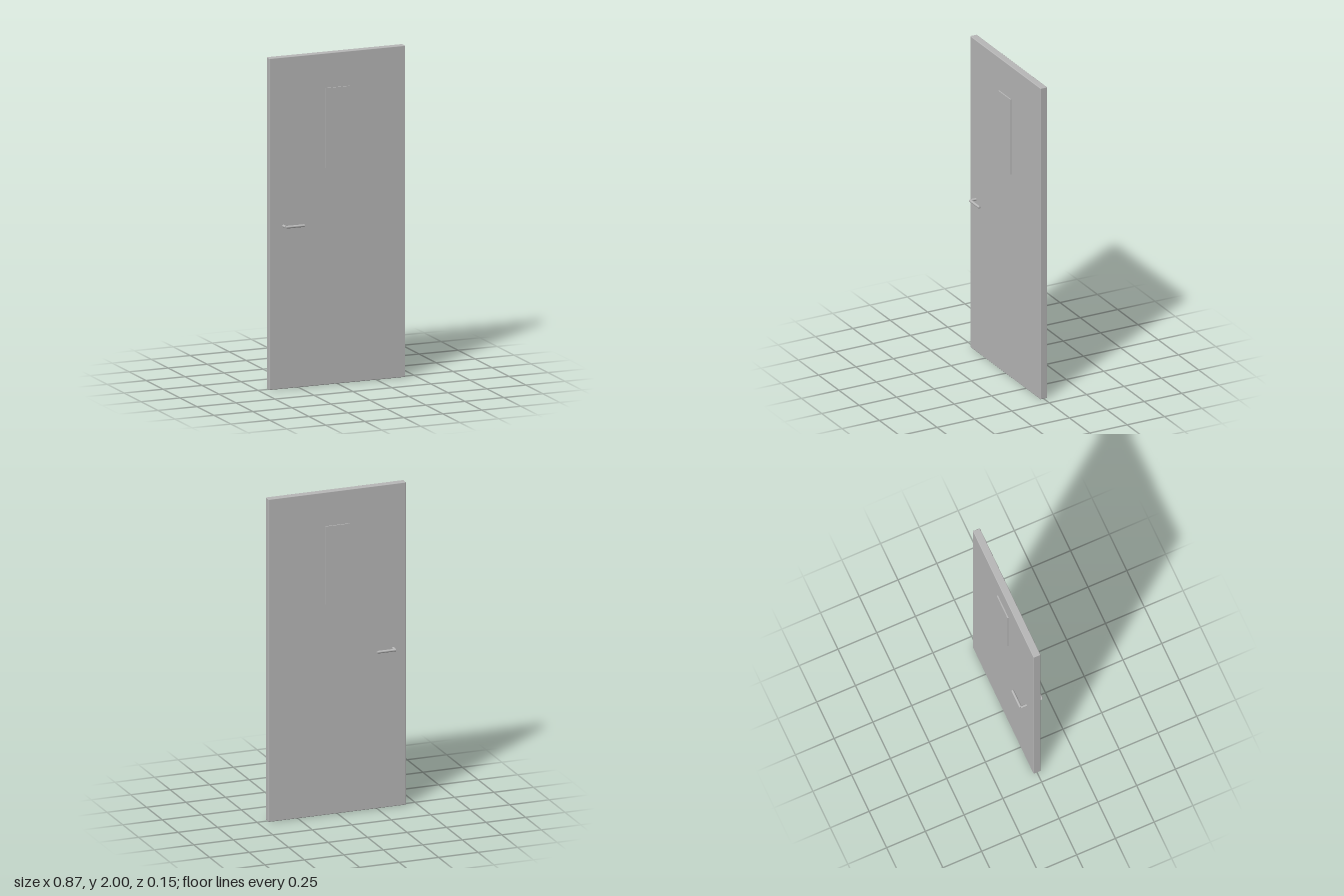
import * as THREE from 'three';
import { RoundedBoxGeometry } from 'three/addons/geometries/RoundedBoxGeometry.js';

export function createModel() {
  const door = new THREE.Group();
  door.name = 'door';
  const grey = new THREE.MeshStandardMaterial({ color: 0xb8b8b8 });
  grey.name = 'grey';

  const add = (parent, name, geometry, x, y, z) => {
    const mesh = new THREE.Mesh(geometry, grey);
    mesh.name = name;
    mesh.position.set(x, y, z);
    parent.add(mesh);
    return mesh;
  };

  // Door leaf with finely eased edges
  add(door, 'doorLeaf', new RoundedBoxGeometry(0.87, 2, 0.045, 2, 0.004), 0, 1, 0);

  // Window panel passing through the leaf, slightly proud on both faces
  add(door, 'windowPanel', new THREE.BoxGeometry(0.153, 0.482, 0.06), 0, 1.549, 0);

  // Lever handle on each face: a short spindle and a horizontal grip
  const radius = 0.008;
  for (const side of [1, -1]) {
    const handle = new THREE.Group();
    handle.name = side > 0 ? 'frontHandle' : 'backHandle';
    handle.position.set(-0.35, 0.984, 0);
    door.add(handle);

    const spindle = add(handle, 'spindle',
      new THREE.CylinderGeometry(radius, radius, 0.038, 24), 0, 0, side * 0.049);
    spindle.rotation.x = Math.PI / 2;

    const grip = add(handle, 'grip',
      new THREE.CylinderGeometry(radius, radius, 0.117, 24), 0.0585, 0, side * 0.068);
    grip.rotation.z = Math.PI / 2;
  }
  return door;
}
